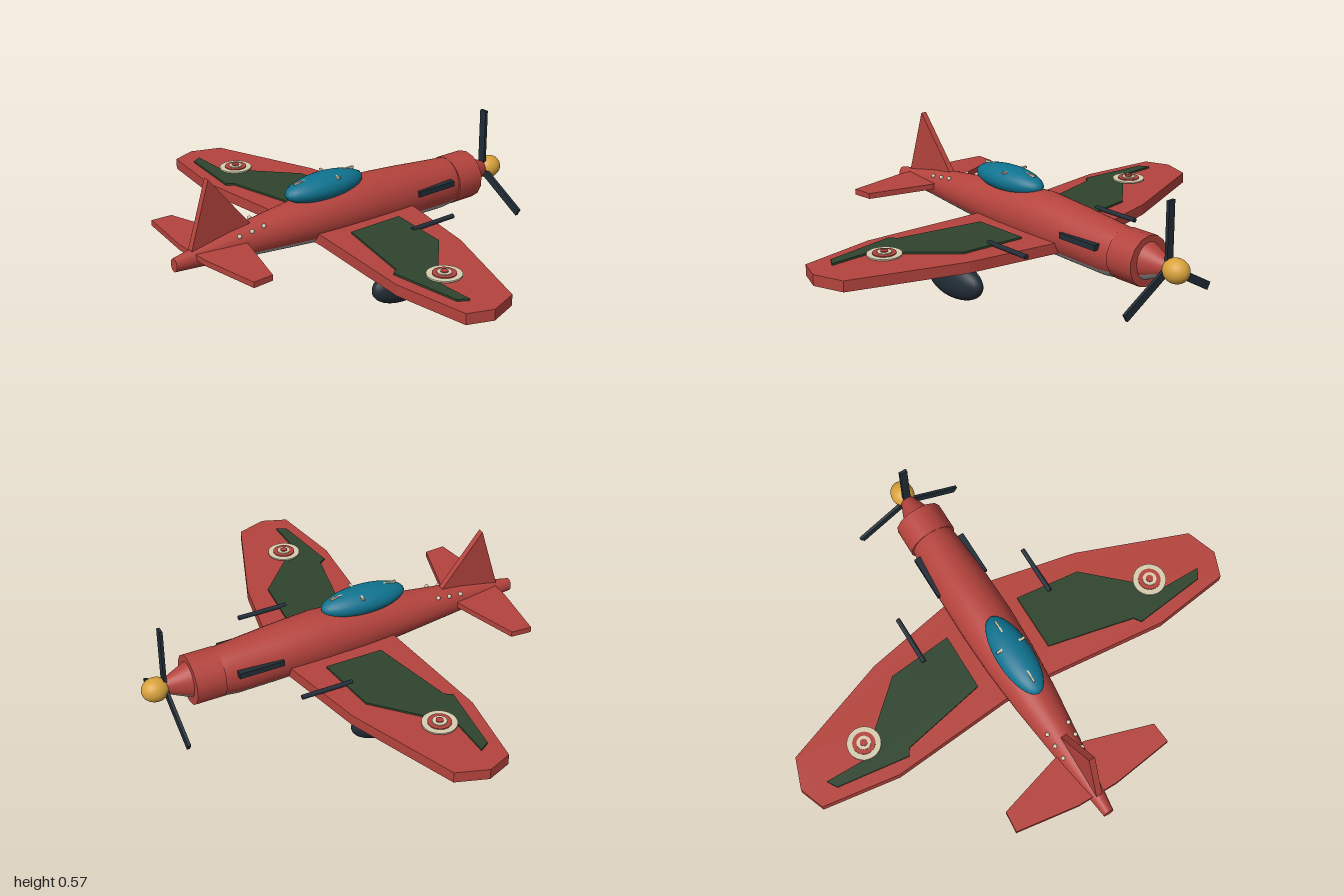
import * as THREE from 'three';

const material = (name, color) => {
  const m = new THREE.MeshStandardMaterial({ color });
  m.name = name;
  return m;
};

export function createModel() {
  const red = material('red paint', 0xb5433d);
  const grey = material('belly grey', 0xa3a8a5);
  const green = material('camouflage green', 0x2e442d);
  const teal = material('canopy teal', 0x0f7390);
  const dark = material('dark metal', 0x222d37);
  const gold = material('spinner gold', 0xd8a23c);
  const cream = material('cream', 0xd6cdb0);

  const model = new THREE.Group();
  model.name = 'airplane';

  const add = (name, geometry, mat, x = 0, y = 0, z = 0, parent = model) => {
    const mesh = new THREE.Mesh(geometry, mat);
    mesh.name = name;
    mesh.position.set(x, y, z);
    parent.add(mesh);
    return mesh;
  };
  const box = (w, h, d) => new THREE.BoxGeometry(w, h, d);
  const ellipsoid = (rx, ry, rz) => new THREE.SphereGeometry(1, 32, 20).scale(rx, ry, rz);

  const prism = (points, depth) => new THREE.ExtrudeGeometry(
    new THREE.Shape(points.map(([a, b]) => new THREE.Vector2(a, b))),
    { depth, bevelEnabled: false });
  // Horizontal plate from an (x, z) outline, hanging down from its top height
  const plate = (points, top, thickness) =>
    prism(points, thickness).rotateX(Math.PI / 2).translate(0, top, 0);
  const mirrored = (half) => [...half, ...half.map(([x, z]) => [-x, z]).reverse()];

  // Fuselage: elliptical sections [z, centre y, half width, half height], tail to nose
  const sections = [
    [0.85, 0.2525, 0.022, 0.028], [0.6, 0.266, 0.056, 0.061],
    [0.3, 0.27, 0.092, 0.091], [0.1, 0.27, 0.108, 0.109],
    [-0.09, 0.27, 0.114, 0.12], [-0.28, 0.259, 0.112, 0.115],
    [-0.47, 0.2465, 0.102, 0.109], [-0.58, 0.248, 0.09, 0.098],
    [-0.65, 0.25, 0.07, 0.078], [-0.75, 0.25, 0.03, 0.034],
  ];
  const sides = 40;
  const positions = [];
  for (const [z, cy, rx, ry] of sections) {
    for (let j = 0; j < sides; j++) {
      const a = (j / sides) * Math.PI * 2;
      positions.push(rx * Math.cos(a), cy + ry * Math.sin(a), z);
    }
  }
  const upper = [], belly = [];
  for (let i = 0; i < sections.length - 1; i++) {
    for (let j = 0; j < sides; j++) {
      const k = (j + 1) % sides;
      const a = i * sides + j, b = a + sides, c = i * sides + k, d = c + sides;
      const low = Math.sin(((j + 0.5) / sides) * Math.PI * 2) < -0.58;
      (i > 0 && low ? belly : upper).push(a, b, c, c, b, d);
    }
  }
  const hull = new THREE.BufferGeometry();
  hull.setAttribute('position', new THREE.Float32BufferAttribute(positions, 3));
  hull.setIndex([...upper, ...belly]);
  hull.addGroup(0, upper.length, 0);
  hull.addGroup(upper.length, belly.length, 1);
  hull.computeVertexNormals();
  add('fuselage', hull, [red, grey]);
  add('tailCap', new THREE.CircleGeometry(1, sides).scale(0.022, 0.028, 1), red, 0, 0.2525, 0.85);

  // Engine cowling
  add('cowling', new THREE.CylinderGeometry(0.105, 0.105, 0.125, 14).rotateX(Math.PI / 2),
    red, 0, 0.248, -0.592);

  // Wing and tail surfaces
  add('wing', plate(mirrored([
    [0.1, -0.255], [0.49, -0.175], [0.955, 0], [1, 0.13], [0.96, 0.235], [0.63, 0.28], [0.1, 0.23],
  ]), 0.239, 0.046), red);
  add('tailplane', plate(mirrored([
    [0.07, 0.555], [0.35, 0.64], [0.357, 0.73], [0.09, 0.767],
  ]), 0.283, 0.024), red);
  add('fin', prism([[0.5, 0.33], [0.69, 0.567], [0.78, 0.28], [0.6, 0.27]], 0.026)
    .rotateY(-Math.PI / 2).translate(0.013, 0, 0), red);

  // Canopy with its frame bars
  add('canopy', ellipsoid(0.075, 0.056, 0.19), teal, 0, 0.395, 0.13);
  add('canopyLongBar', box(0.008, 0.01, 0.3), cream, 0, 0.438, 0.13);
  add('canopyCrossBar', box(0.13, 0.008, 0.01), cream, 0, 0.438, 0.1);

  // Parts repeated on both sides
  for (const s of [1, -1]) {
    const side = new THREE.Group();
    side.name = s > 0 ? 'leftSide' : 'rightSide';
    model.add(side);

    add('camouflagePatch', plate([
      [0.17, -0.125], [0.45, -0.095], [0.72, 0.155], [0.895, 0.155],
      [0.87, 0.197], [0.56, 0.235], [0.54, 0.205], [0.17, 0.125],
    ].map(([x, z]) => [x * s, z]), 0.247, 0.009), green, 0, 0, 0, side);

    // Roundel of stacked thin discs
    [[0.07, cream], [0.047, red], [0.029, cream], [0.015, red]].forEach(([r, mat], i) =>
      add('roundelDisc', new THREE.CylinderGeometry(r, r, 0.006, 32), mat,
        s * 0.69, 0.25 + i * 0.004, 0.095, side));

    add('wheel', ellipsoid(0.057, 0.0785, 0.155), dark, s * 0.385, 0.0785, 0.033, side);
    add('wingGun', new THREE.CylinderGeometry(0.01, 0.01, 0.22, 12).rotateX(Math.PI / 2),
      dark, s * 0.306, 0.246, -0.19, side);
    add('exhaust', box(0.03, 0.024, 0.195), dark, s * 0.104, 0.282, -0.382, side);

    for (const [x, y, z] of [[0.05, 0.326, 0.465], [0.048, 0.317, 0.52], [0.045, 0.31, 0.577]]) {
      add('rivet', new THREE.SphereGeometry(0.009, 12, 8), cream, s * x, y, z, side);
    }
  }

  // Propeller and spinner
  add('spinner', ellipsoid(0.05, 0.05, 0.0575), gold, 0, 0.248, -0.7925);
  const propeller = new THREE.Group();
  propeller.name = 'propeller';
  propeller.position.set(0, 0.248, -0.755);
  model.add(propeller);
  for (let i = 0; i < 3; i++) {
    const blade = add('blade', box(0.034, 0.272, 0.013).translate(0, 0.136, 0), dark, 0, 0, 0, propeller);
    blade.rotation.z = (i * Math.PI * 2) / 3;
  }

  return model;
}
